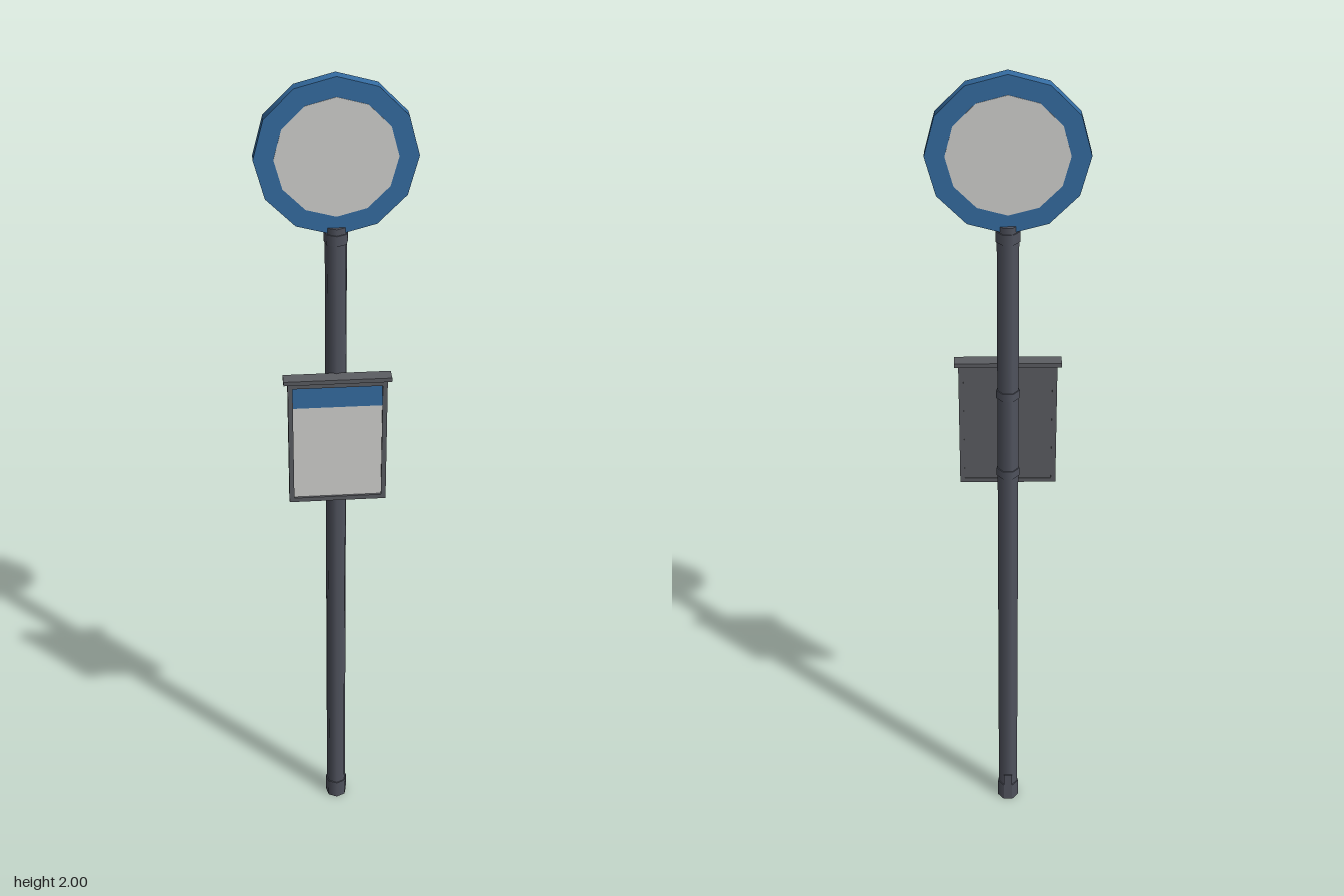
import * as THREE from 'three';

const mat = (name, color, extra = {}) => {
  const m = new THREE.MeshStandardMaterial({ color, ...extra });
  m.name = name;
  return m;
};

export function createModel() {
  const model = new THREE.Group();
  model.name = 'stopSign';

  const poleGrey = mat('poleGrey', 0x51545f);
  const frameGrey = mat('frameGrey', 0x5c5e63);
  const blue = mat('signBlue', 0x356da3);
  const white = mat('signWhite', 0xd3d3d1);

  const AXIS = -0.0145; // z of the pole's axis

  const add = (name, geometry, material, x, y, z) => {
    const mesh = new THREE.Mesh(geometry, material);
    mesh.name = name;
    mesh.position.set(x, y, z);
    model.add(mesh);
    return mesh;
  };
  const box = (name, material, w, h, d, x, y, z) =>
    add(name, new THREE.BoxGeometry(w, h, d), material, x, y, z);
  // Upright seven-sided tube section between two heights
  const ring = (name, r, y0, y1) =>
    add(name, new THREE.CylinderGeometry(r, r, y1 - y0, 7), poleGrey, 0, (y0 + y1) / 2, AXIS);
  // Disc facing front and back
  const disc = (name, r, depth, material) => {
    const g = new THREE.CylinderGeometry(r, r, depth, 12).rotateX(Math.PI / 2);
    return add(name, g, material, 0, 1.825, AXIS);
  };

  // Pole with base sleeve, rear service door and collars
  ring('pole', 0.0248, 0, 1.667);
  ring('baseSleeve', 0.0275, 0, 0.05);
  box('serviceDoor', poleGrey, 0.022, 0.085, 0.004, 0, 0.0435, AXIS - 0.0235);
  ring('topCollar', 0.0274, 1.628, 1.652);

  // Clamps holding the notice board
  for (const y of [1.04, 1.25]) {
    ring('boardClamp', 0.0274, y - 0.01, y + 0.01);
    box('clampBlock', poleGrey, 0.02, 0.018, 0.014, 0, y, 0.012);
  }

  // Round sign: blue rim, pale face on both sides
  disc('signRim', 0.175, 0.029, blue);
  disc('signFaces', 0.132, 0.031, white);

  // Notice board: back panel, frame bars, poster and header
  const W = 0.226, BOTTOM = 0.987, TOP = 1.304, BAR = 0.011;
  const midY = (BOTTOM + TOP) / 2;
  box('boardPanel', frameGrey, W - BAR, TOP - BOTTOM - BAR, 0.011, 0, midY, 0.0225);
  for (const side of [-1, 1]) {
    box('frameSide', frameGrey, BAR, TOP - BOTTOM, 0.021, side * (W - BAR) / 2, midY, 0.0255);
    box('frameRail', frameGrey, W - 2 * BAR, BAR, 0.021, 0, midY + side * (TOP - BOTTOM - BAR) / 2, 0.0255);
  }
  const inner = W - 2 * BAR, split = 1.239;
  const low = BOTTOM + BAR, high = TOP - BAR;
  box('poster', white, inner, split - low, 0.003, 0, (split + low) / 2, 0.0295);
  box('posterHeader', blue, inner, high - split, 0.003, 0, (split + high) / 2, 0.0295);

  // Rain cover above the board
  box('boardRoof', frameGrey, 0.245, 0.01, 0.033, 0, 1.309, 0.0228);

  return model;
}
